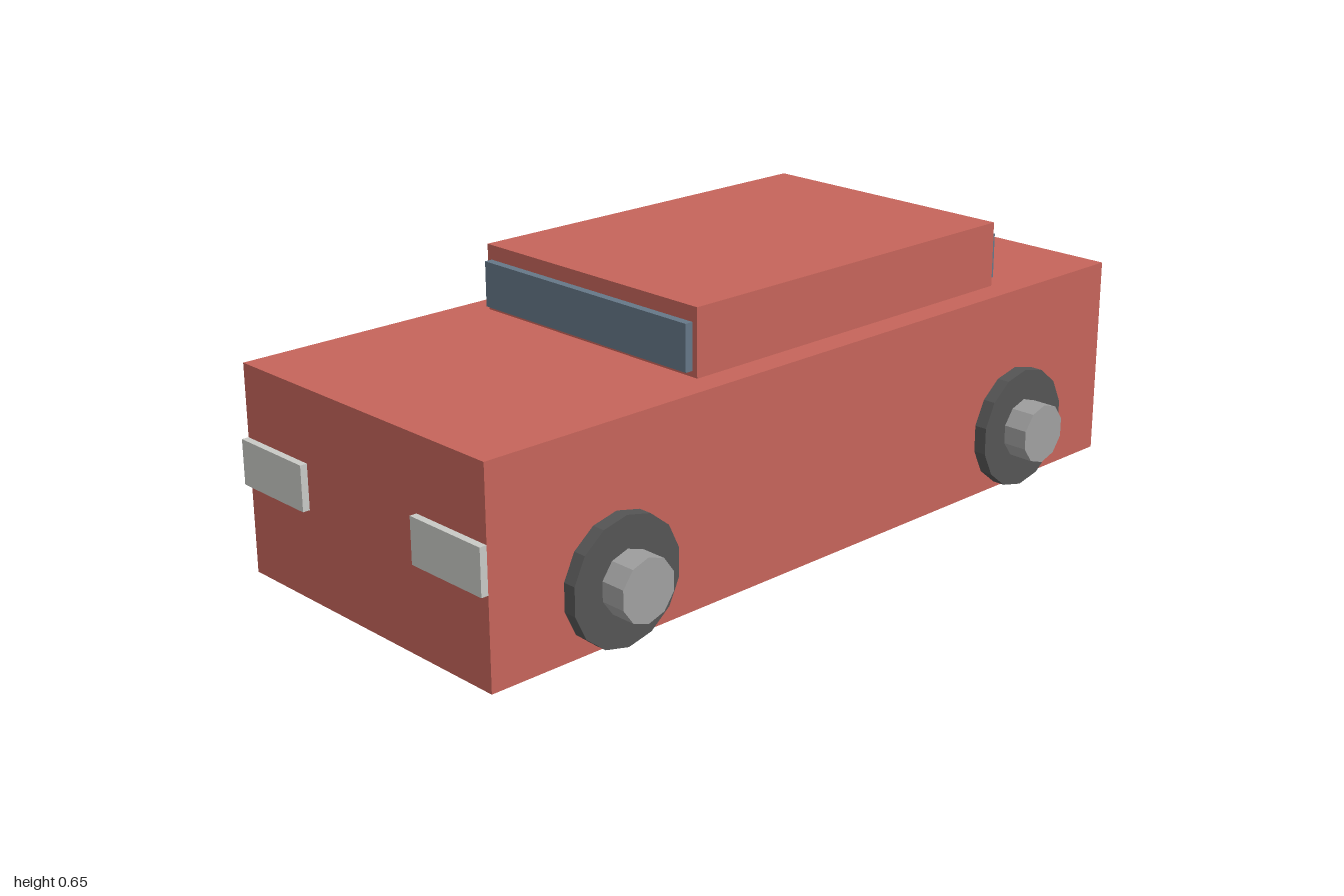
import * as THREE from 'three';

const mat = (name, color) => {
  const m = new THREE.MeshStandardMaterial({ color });
  m.name = name;
  return m;
};

export function createModel() {
  const red = mat('red paint', 0xc5645a);
  const glass = mat('blue glass', 0x657787);
  const rubber = mat('dark rubber', 0x555555);
  const metal = mat('grey metal', 0x9f9f9f);
  const lamp = mat('pale lamp', 0xc8c9c5);
  const car = new THREE.Group();
  car.name = 'car';

  // Box given by its limits along each axis
  const box = (name, material, [x0, x1], [y0, y1], [z0, z1]) => {
    const mesh = new THREE.Mesh(new THREE.BoxGeometry(x1 - x0, y1 - y0, z1 - z0), material);
    mesh.position.set((x0 + x1) / 2, (y0 + y1) / 2, (z0 + z1) / 2);
    mesh.name = name;
    car.add(mesh);
  };

  // Bodywork
  box('body', red, [-0.411, 0.411], [0.002, 0.492], [-0.983, 0.983]);
  box('cabin', red, [-0.346, 0.346], [0.492, 0.649], [-0.625, 0.358]);
  box('rearPanel', red, [-0.32, 0.32], [0.218, 0.323], [-1, -0.983]);

  // Windows
  box('windscreen', glass, [-0.332, 0.332], [0.506, 0.614], [0.358, 0.378]);
  box('rearWindow', glass, [-0.332, 0.332], [0.506, 0.614], [-0.648, -0.625]);

  // Headlights
  box('leftHeadlight', lamp, [0.19, 0.411], [0.215, 0.321], [0.983, 1]);
  box('rightHeadlight', lamp, [-0.411, -0.19], [0.215, 0.321], [0.983, 1]);

  // Faceted disc lying across the car with a corner at the top
  const disc = (name, material, radius, sides, inner, outer, side) => {
    const geo = new THREE.CylinderGeometry(radius, radius, outer - inner, sides);
    geo.rotateZ(Math.PI / 2).rotateX(-Math.PI / 2);
    const flat = geo.toNonIndexed();
    flat.computeVertexNormals();
    const mesh = new THREE.Mesh(flat, material);
    mesh.position.x = side * (inner + outer) / 2;
    mesh.name = name;
    return mesh;
  };

  // Wheels with projecting hubs
  for (const side of [-1, 1]) {
    for (const end of [-1, 1]) {
      const wheel = new THREE.Group();
      wheel.name = (end > 0 ? 'front' : 'rear') + (side > 0 ? 'Left' : 'Right') + 'Wheel';
      wheel.add(
        disc('tyre', rubber, 0.147, 14, 0.36, 0.443, side),
        disc('hub', metal, 0.073, 10, 0.4, 0.505, side)
      );
      wheel.position.set(0, 0.149, end * 0.648);
      car.add(wheel);
    }
  }
  return car;
}
